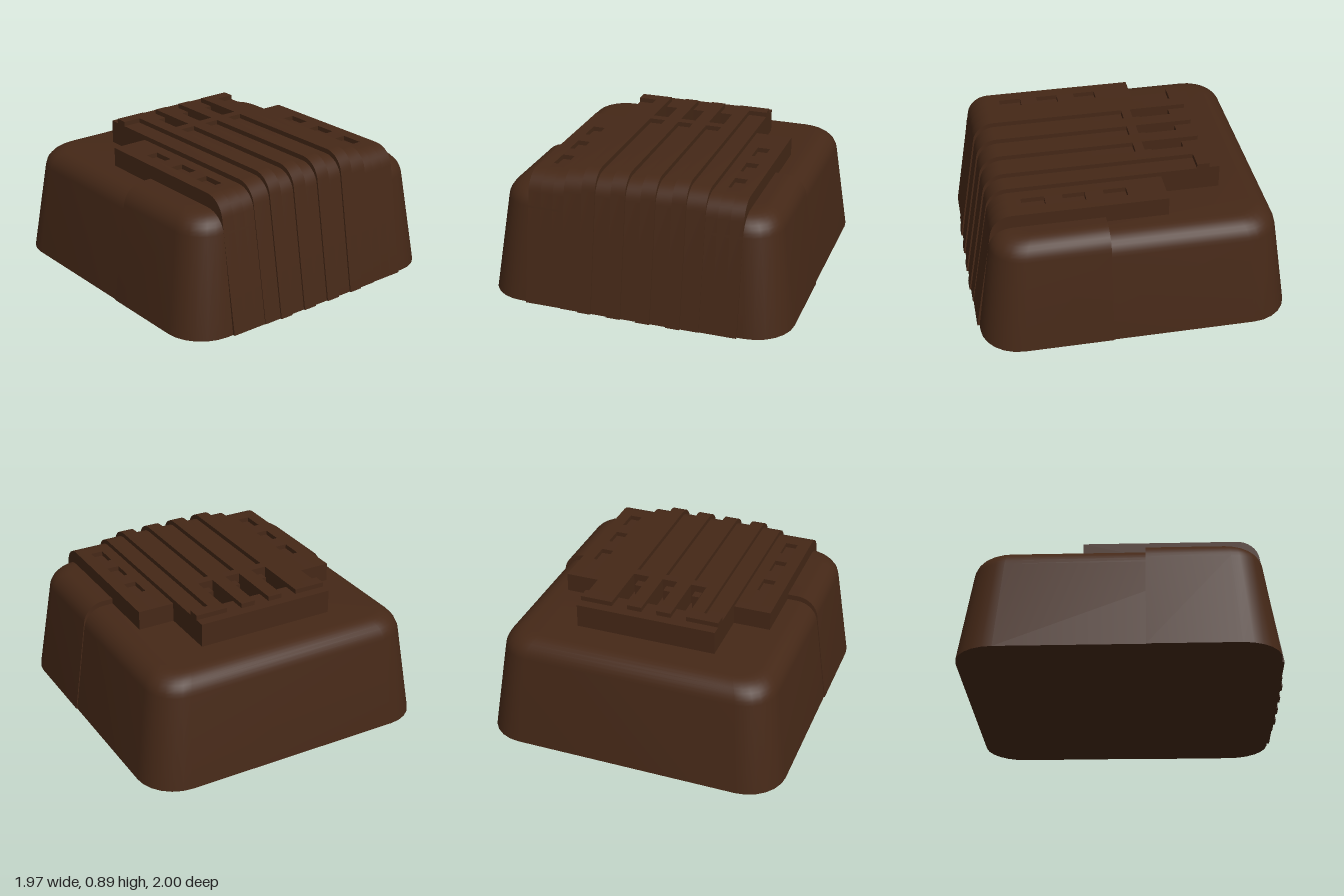
import * as THREE from 'three';
import { toCreasedNormals } from 'three/addons/utils/BufferGeometryUtils.js';

const brown = new THREE.MeshStandardMaterial({ color: 0x452817 });

function addMesh(group, name, geometry) {
  const mesh = new THREE.Mesh(geometry, brown);
  mesh.name = name;
  group.add(mesh);
}

// Tapered rounded block lofted from rounded-rectangle rings, cut flat at zMin
function taperedBlock(top, grow, zMin) {
  const r = 0.14, taper = 0.145, corner = 6, rings = [[0, 0]];
  for (let i = 0; i <= 8; i++) {
    const t = 0.14 + (Math.PI / 2 - 0.14) * i / 8;
    rings.push([top - r + r * Math.sin(t), taper * (top - r) + r * (1 - Math.cos(t))]);
  }
  const pos = [], index = [], n = 4 * (corner + 1);
  for (const [y, inset] of rings) {
    const hx = 0.98 + grow - inset, hz = 0.985 - inset;
    const cr = Math.max(0.1, 0.25 - inset * 0.5);
    for (let q = 0; q < 4; q++) {
      const sx = q === 0 || q === 3 ? 1 : -1, sz = q < 2 ? 1 : -1;
      for (let i = 0; i <= corner; i++) {
        const a = (q + i / corner) * Math.PI / 2;
        const z = -0.015 + sz * (hz - cr) + cr * Math.sin(a);
        pos.push(sx * (hx - cr) + cr * Math.cos(a), y, Math.max(z, zMin));
      }
    }
  }
  for (let k = 0; k < rings.length - 1; k++) {
    for (let i = 0; i < n; i++) {
      const a = k * n + i, b = k * n + (i + 1) % n;
      index.push(a, a + n, b, b, a + n, b + n);
    }
  }
  // Caps
  const last = (rings.length - 1) * n;
  for (let i = 1; i < n - 1; i++) {
    index.push(0, i, i + 1, last, last + i + 1, last + i);
  }
  const g = new THREE.BufferGeometry();
  g.setAttribute('position', new THREE.Float32BufferAttribute(pos, 3));
  g.setIndex(index);
  return toCreasedNormals(g, 0.6);
}

// Side profile [z, y] of the top edge from the rear, rounded over the front,
// swept across from x0 to x1
function strip(x0, x1, edge, top, foot) {
  const r = 0.14, k = 0.167, t0 = Math.atan(k);
  const zc = foot - k * (top - r + r * Math.sin(t0)) - r * Math.cos(t0);
  const pts = [[edge[0][0], 0.6], ...edge];
  for (let i = 0; i <= 8; i++) {
    const t = Math.PI / 2 + (t0 - Math.PI / 2) * i / 8;
    pts.push([zc + r * Math.cos(t), top - r + r * Math.sin(t)]);
  }
  pts.push([foot, 0], [0.8, 0], [0.7, 0.6]);
  const shape = new THREE.Shape(pts.map(([z, y]) => new THREE.Vector2(-z, y)));
  const g = new THREE.ExtrudeGeometry(shape, { depth: x1 - x0, bevelEnabled: false });
  g.rotateY(Math.PI / 2);
  g.translate(x0, 0, 0);
  return toCreasedNormals(g, 0.5);
}

export function createModel() {
  const model = new THREE.Group();
  model.name = 'ribbedBlock';

  // Body and the slightly raised front shell
  addMesh(model, 'body', taperedBlock(0.713, 0, -2));
  addMesh(model, 'frontShell', taperedBlock(0.747, 0.006, 0.155));

  // Side panels with three shallow pockets each
  const panelTop = 0.835, panelFoot = 0.985, pocketFloor = 0.805;
  const plain = [[-0.24, panelTop]];
  const pocketed = [[-0.24, panelTop]];
  for (const [a, b] of [[0, 0.145], [0.26, 0.4], [0.51, 0.655]]) {
    pocketed.push([a, panelTop], [a, pocketFloor], [b, pocketFloor], [b, panelTop]);
  }
  for (const [a, b, edge] of [[0.455, 0.53, plain], [0.53, 0.61, pocketed], [0.61, 0.692, plain]]) {
    addMesh(model, 'leftSidePanel', strip(a, b, edge, panelTop, panelFoot));
    addMesh(model, 'rightSidePanel', strip(-b, -a, edge, panelTop, panelFoot));
  }

  // Centre panel: outer bands with a raised rear lip
  const low = 0.865, high = 0.895, rear = -0.615;
  const band = [[rear, low], [-0.55, low], [-0.55, high], [-0.47, high], [-0.47, low]];
  addMesh(model, 'leftBand', strip(0.335, 0.455, band, low, 0.99));
  addMesh(model, 'rightBand', strip(-0.455, -0.335, band, low, 0.99));

  // Four raised ribs
  const rib = [[rear, low], [-0.55, low], [-0.55, high]];
  for (const [a, b] of [[-0.335, -0.248], [-0.145, -0.052], [0.048, 0.141], [0.245, 0.335]]) {
    addMesh(model, 'rib', strip(a, b, rib, high, 1));
  }

  // Three grooves, each with a deep slot and a cross bridge
  const floor = 0.76;
  const groove = [[rear, low], [-0.44, low], [-0.44, floor], [-0.18, floor],
    [-0.18, high], [-0.12, high], [-0.12, low]];
  for (const [a, b] of [[-0.248, -0.145], [-0.052, 0.048], [0.141, 0.245]]) {
    addMesh(model, 'groove', strip(a, b, groove, low, 0.99));
    const peg = new THREE.BoxGeometry(0.048, 0.09, 0.06);
    peg.translate((a + b) / 2, floor + 0.045, -0.21);
    addMesh(model, 'slotPeg', peg);
  }
  return model;
}
